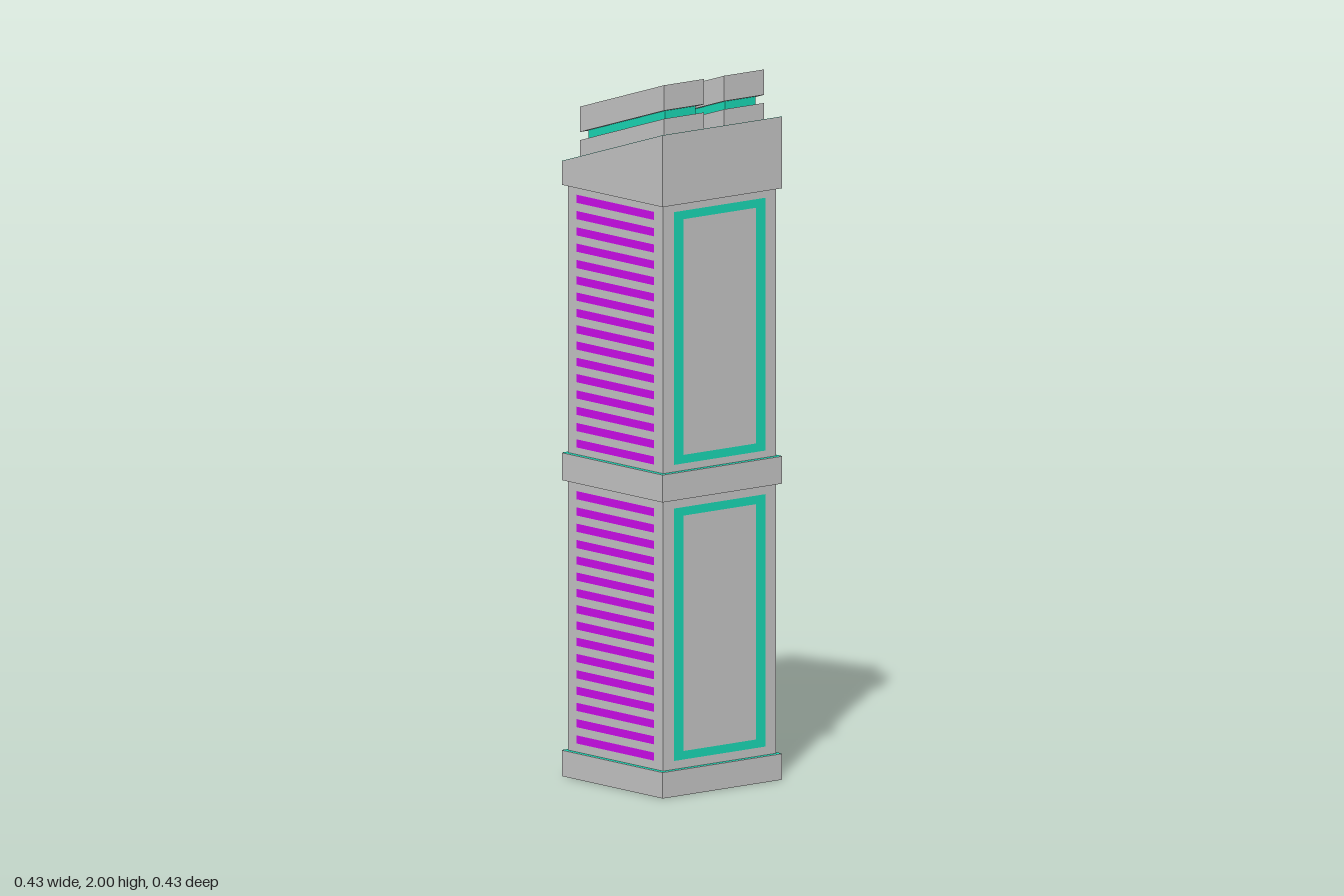
import * as THREE from 'three';

const grey = new THREE.MeshStandardMaterial({ color: 0xcccccc, flatShading: true });
const teal = new THREE.MeshStandardMaterial({ color: 0x1adeba, flatShading: true });
const purple = new THREE.MeshStandardMaterial({ color: 0xd20ef2, flatShading: true });

const BODY = 0.204, LEDGE = 0.216, LIFT = 0.001;
const roofY = (z) => 1.8 + 0.3125 * z;

export function createModel() {
  const model = new THREE.Group();
  model.name = 'tower';

  const add = (name, geometry, material, x = 0, y = 0, z = 0, parent = model) => {
    const mesh = new THREE.Mesh(geometry, material);
    mesh.name = name;
    mesh.position.set(x, y, z);
    parent.add(mesh);
    return mesh;
  };

  // Square block centred on the axis, from y0 to y1
  const block = (name, half, y0, y1) =>
    add(name, new THREE.BoxGeometry(half * 2, y1 - y0, half * 2), grey, 0, (y0 + y1) / 2);

  // Horizontal coloured sheet, facing up (1) or down (-1)
  const sheet = (name, y, dir, material) =>
    add(name, new THREE.PlaneGeometry(LEDGE * 2, LEDGE * 2).rotateX(-dir * Math.PI / 2), material, 0, y + dir * LIFT);

  // Block with a side profile following the roof slope
  const sloped = (name, width, halfZ, bottom, top, material, x = 0) => {
    const profile = new THREE.Shape([
      new THREE.Vector2(-halfZ, bottom(-halfZ)), new THREE.Vector2(halfZ, bottom(halfZ)),
      new THREE.Vector2(halfZ, top(halfZ)), new THREE.Vector2(-halfZ, top(-halfZ)),
    ]);
    const geometry = new THREE.ExtrudeGeometry(profile, { depth: width, bevelEnabled: false });
    geometry.translate(0, 0, -width / 2).rotateY(-Math.PI / 2);
    return add(name, geometry, material, x);
  };

  // Foot, two storeys and the belt between them
  block('base', LEDGE, 0, 0.073);
  block('lowerBody', BODY, 0.073, 0.834);
  block('belt', LEDGE, 0.834, 0.911);
  block('upperBody', BODY, 0.911, 1.666);
  sheet('baseLedge', 0.073, 1, teal);
  sheet('beltLedge', 0.911, 1, teal);

  // Sloping cap with teal roof and purple underside
  sloped('cap', LEDGE * 2, LEDGE, () => 1.666, roofY, grey);
  sloped('roofSurface', LEDGE * 2, LEDGE, roofY, (z) => roofY(z) + LIFT, teal);
  sheet('capUnderside', 1.666, -1, purple);

  // Rectangular frame outline as a flat shape
  const rect = (path, w, h) =>
    path.moveTo(-w, -h).lineTo(w, -h).lineTo(w, h).lineTo(-w, h).closePath();
  const frameGeometry = (h) => {
    const shape = rect(new THREE.Shape(), 0.165, h);
    shape.holes.push(rect(new THREE.Path(), 0.132, h - 0.024));
    return new THREE.ShapeGeometry(shape);
  };

  // Each storey: teal frames front and back, purple slats on both sides
  for (const [storey, y0, y1] of [['lower', 0.098, 0.809], ['upper', 0.932, 1.644]]) {
    const slat = (y1 - y0) / 31;
    for (let side = 0; side < 4; side++) {
      const panel = new THREE.Group();
      panel.name = storey + ['FrontPanel', 'LeftPanel', 'BackPanel', 'RightPanel'][side];
      panel.rotation.y = side * Math.PI / 2;
      model.add(panel);
      if (side % 2 === 0) {
        add('frame', frameGeometry((y1 - y0) / 2), teal, 0, (y0 + y1) / 2, BODY + LIFT, panel);
      } else {
        for (let i = 0; i < 16; i++) {
          add('slat', new THREE.PlaneGeometry(0.332, slat), purple,
            0, y0 + slat * (2 * i + 0.5), BODY + LIFT, panel);
        }
      }
    }
  }

  // Pair of roof vents: curb, recessed teal core and lid
  const above = (d) => (z) => roofY(z) + d;
  for (const x of [-0.1085, 0.1085]) {
    sloped('ventCurb', 0.145, 0.181, above(-0.01), above(0.049), grey, x);
    sloped('ventCore', 0.11, 0.164, above(0.045), above(0.076), teal, x);
    sloped('ventLid', 0.145, 0.181, above(0.072), above(0.1434), grey, x);
  }

  return model;
}
